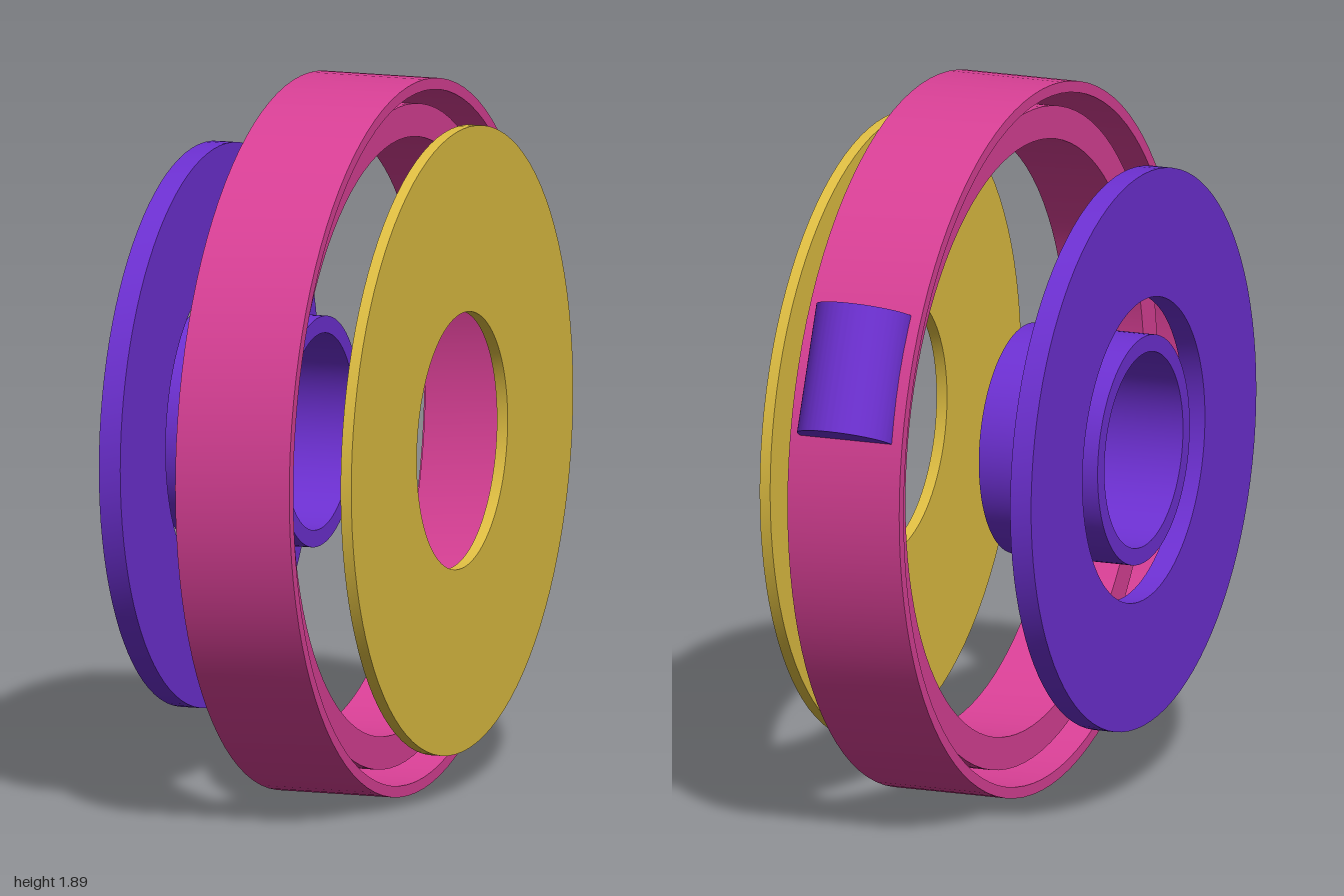
import * as THREE from 'three';
import { toCreasedNormals } from 'three/addons/utils/BufferGeometryUtils.js';

const material = (name, color) => Object.assign(new THREE.MeshStandardMaterial({ color }), { name });

// Square-edged ring around the x axis, from x0 to x1
function ring(name, mat, inner, outer, x0, x1) {
  const profile = [[inner, x0], [outer, x0], [outer, x1], [inner, x1], [inner, x0]]
    .map(([r, h]) => new THREE.Vector2(r, h));
  const geometry = toCreasedNormals(new THREE.LatheGeometry(profile, 96), 0.6);
  geometry.rotateZ(-Math.PI / 2);
  const mesh = new THREE.Mesh(geometry, mat);
  mesh.name = name;
  return mesh;
}

// Round-topped block on the rim, extruded along the tangent
function rimLug(mat) {
  const half = 0.13, base = 0.85, shoulder = 0.933, length = 0.345;
  const shape = new THREE.Shape();
  shape.moveTo(-half, base);
  shape.lineTo(half, base);
  shape.lineTo(half, shoulder);
  shape.absarc(0, shoulder, half, 0, Math.PI, false);
  shape.lineTo(-half, base);
  const extruded = new THREE.ExtrudeGeometry(shape, { depth: length, bevelEnabled: false, curveSegments: 32 });
  extruded.translate(0, 0, -length / 2);
  const mesh = new THREE.Mesh(toCreasedNormals(extruded, 0.6), mat);
  mesh.name = 'rimLug';
  mesh.position.x = 0.08;
  mesh.rotation.x = -THREE.MathUtils.degToRad(68);
  return mesh;
}

export function createModel() {
  const pink = material('pink', 0xd94096);
  const purple = material('purple', 0x6d30d2);
  const gold = material('gold', 0xdfbe42);

  const model = new THREE.Group();
  model.name = 'explodedWheel';
  model.position.set(0, 0.947, 0.053);
  model.add(
    ring('outerRim', pink, 0.917, 0.947, -0.08, 0.24),
    ring('innerRim', pink, 0.79, 0.877, -0.03, 0.19),
    ring('coverDisc', gold, 0.34, 0.83, 0.34, 0.37),
    ring('backDisc', purple, 0.405, 0.745, -0.37, -0.31),
    ring('hubTube', purple, 0.26, 0.305, -0.37, -0.03),
    rimLug(purple),
  );

  const root = new THREE.Group();
  root.name = 'model';
  root.add(model);
  return root;
}
